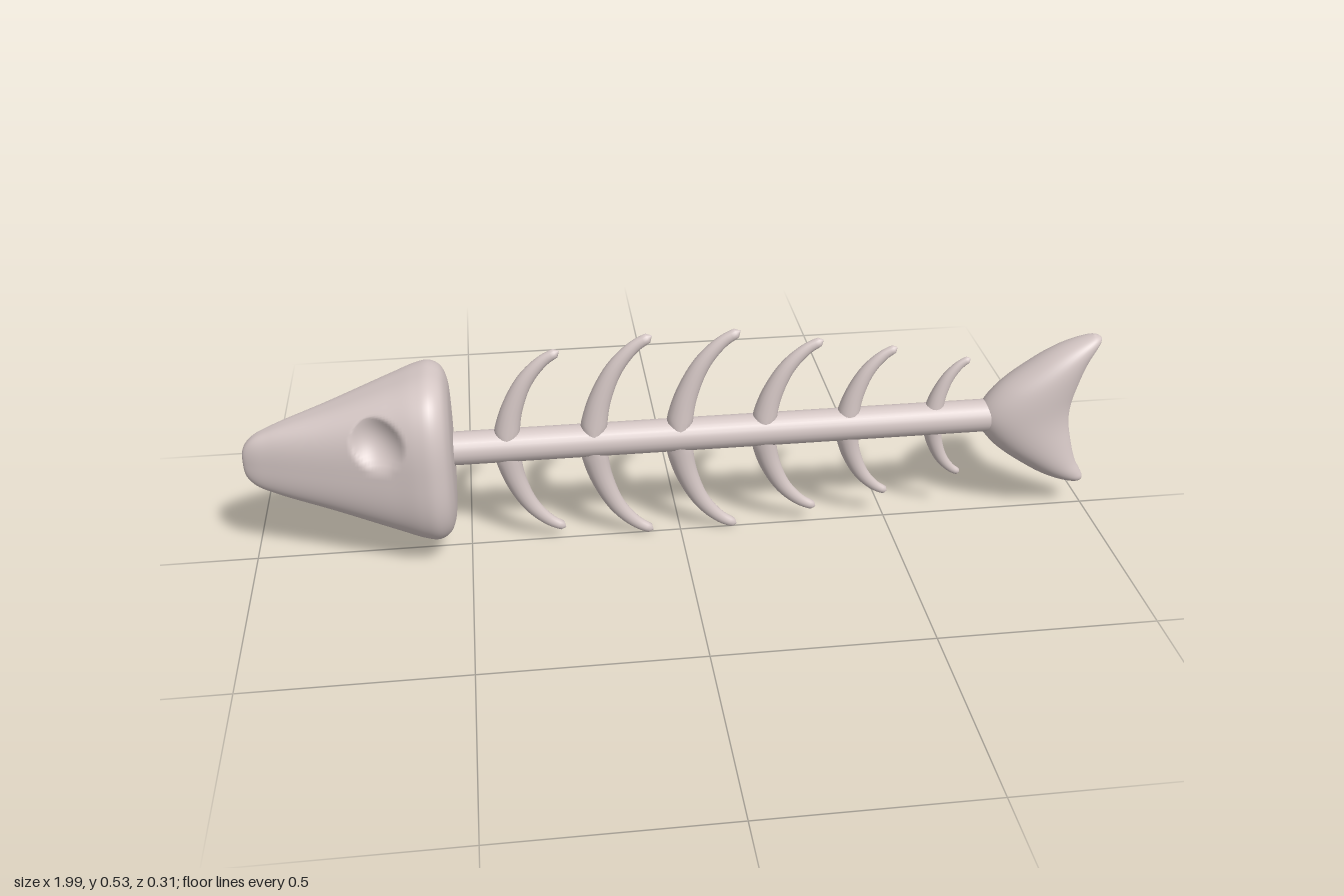
import * as THREE from 'three';

const CY = 0.265; // height of the backbone axis
const V = (x, y, z = 0) => new THREE.Vector3(x, y, z);

// Smooth closed skin over superellipse sections {c, u, v}, where u x v points along the loft.
function loft(sections, sides, power = 2) {
  const pos = [], index = [];
  const sup = (a) => Math.sign(a) * Math.abs(a) ** (2 / power);
  for (const { c, u, v } of sections) {
    for (let j = 0; j < sides; j++) {
      const a = (j / sides) * Math.PI * 2;
      const p = c.clone().addScaledVector(u, sup(Math.cos(a))).addScaledVector(v, sup(Math.sin(a)));
      pos.push(p.x, p.y, p.z);
    }
  }
  for (let i = 0; i < sections.length - 1; i++) {
    for (let j = 0; j < sides; j++) {
      const k = (j + 1) % sides;
      const a = i * sides + j, b = i * sides + k;
      index.push(a, b, a + sides, b, b + sides, a + sides);
    }
  }
  const g = new THREE.BufferGeometry();
  g.setAttribute('position', new THREE.Float32BufferAttribute(pos, 3));
  g.setIndex(index);
  g.computeVertexNormals();
  return g;
}

// Wedge-shaped skull with a round eye socket pressed into each side
function headGeometry() {
  // x, half height, half width
  const profile = new THREE.CatmullRomCurve3([
    V(-1, 0.002, 0.002), V(-0.995, 0.035, 0.016), V(-0.975, 0.06, 0.028), V(-0.93, 0.082, 0.044),
    V(-0.8, 0.127, 0.086), V(-0.66, 0.179, 0.13), V(-0.6, 0.2, 0.149), V(-0.57, 0.205, 0.152),
    V(-0.545, 0.193, 0.14), V(-0.531, 0.165, 0.115), V(-0.526, 0.12, 0.08), V(-0.525, 0.002, 0.002),
  ]);
  const sections = profile.getSpacedPoints(100).map((p) => ({
    c: V(p.x, CY), u: V(0, p.y), v: V(0, 0, p.z),
  }));
  const g = loft(sections, 128, 2.8);
  const pos = g.attributes.position;
  for (let i = 0; i < pos.count; i++) {
    const d = Math.hypot(pos.getX(i) + 0.687, pos.getY(i) - 0.347) / 0.06;
    const z = pos.getZ(i);
    if (d < 1) pos.setZ(i, z - Math.sign(z) * 0.036 * (1 - d * d));
  }
  g.computeVertexNormals();
  return g;
}

// Forked tail fin, stacked from elliptical slices
function tailGeometry() {
  // height offset, leading x, trailing x
  const half = [
    [0, 0.713, 0.938], [0.03, 0.722, 0.94], [0.075, 0.757, 0.95], [0.133, 0.833, 0.968],
    [0.165, 0.885, 0.985], [0.183, 0.925, 0.994], [0.193, 0.955, 0.992], [0.198, 0.975, 0.977],
  ];
  const rows = [...half.slice(1).reverse().map(([o, a, b]) => V(-o, a, b)), ...half.map((r) => V(...r))];
  const sections = new THREE.CatmullRomCurve3(rows).getSpacedPoints(70).map((p) => {
    const t = Math.min(1, Math.abs(p.x) / 0.198);
    return {
      c: V((p.y + p.z) / 2, CY + p.x),
      u: V(0, 0, 0.063 * Math.sqrt(1 - t ** 2.6) + 0.001),
      v: V((p.z - p.y) / 2, 0),
    };
  });
  return loft(sections, 40);
}

// Curved tapering rib; side is +1 for upper, -1 for lower
function ribGeometry(x, dx, height, size, side) {
  const at = (fx, fy) => V(x + dx * fx, CY + side * height * fy);
  const path = new THREE.CatmullRomCurve3([
    at(0, 0), at(0.02, 0.14), at(0.13, 0.4), at(0.38, 0.7), at(0.7, 0.9), at(1, 1),
  ]);
  const n = 28, sections = [];
  for (let i = 0; i <= n; i++) {
    const t = i / n;
    const T = path.getTangentAt(t);
    const pinch = 0.5 + 0.5 * Math.min(1, t / 0.12);
    const tip = Math.sqrt(Math.max(0, 1 - Math.max(0, (t - 0.95) / 0.05) ** 2)) + 0.01;
    const u = V(0, 0, THREE.MathUtils.lerp(0.033, 0.012, Math.min(1, t * 1.15)) * size * tip);
    const v = T.clone().cross(V(0, 0, 1))
      .multiplyScalar(THREE.MathUtils.lerp(0.034, 0.011, t) * size * pinch * tip);
    sections.push({ c: path.getPointAt(t), u, v });
  }
  return loft(sections, 16);
}

export function createModel() {
  const group = new THREE.Group();
  const bone = new THREE.MeshStandardMaterial({ color: 0xd6c8c6 });
  bone.name = 'bone';
  const add = (name, geometry) => {
    const mesh = new THREE.Mesh(geometry, bone);
    mesh.name = name;
    group.add(mesh);
    return mesh;
  };

  add('head', headGeometry());
  add('tailFin', tailGeometry());

  // Backbone
  const spine = add('spine', new THREE.CylinderGeometry(0.039, 0.039, 1.3, 24));
  spine.rotation.z = Math.PI / 2;
  spine.position.set(0.1, CY, 0);

  // Rib pairs: root x, sweep, height, thickness
  const ribs = [
    [-0.405, 0.13, 0.235, 0.95], [-0.205, 0.14, 0.26, 1], [-0.005, 0.142, 0.26, 1],
    [0.195, 0.135, 0.225, 0.93], [0.395, 0.11, 0.195, 0.85], [0.602, 0.08, 0.155, 0.72],
  ];
  ribs.forEach(([x, dx, h, s], i) => {
    add(`upperRib${i + 1}`, ribGeometry(x, dx, h, s, 1));
    add(`lowerRib${i + 1}`, ribGeometry(x, dx, h, s, -1));
  });
  return group;
}
